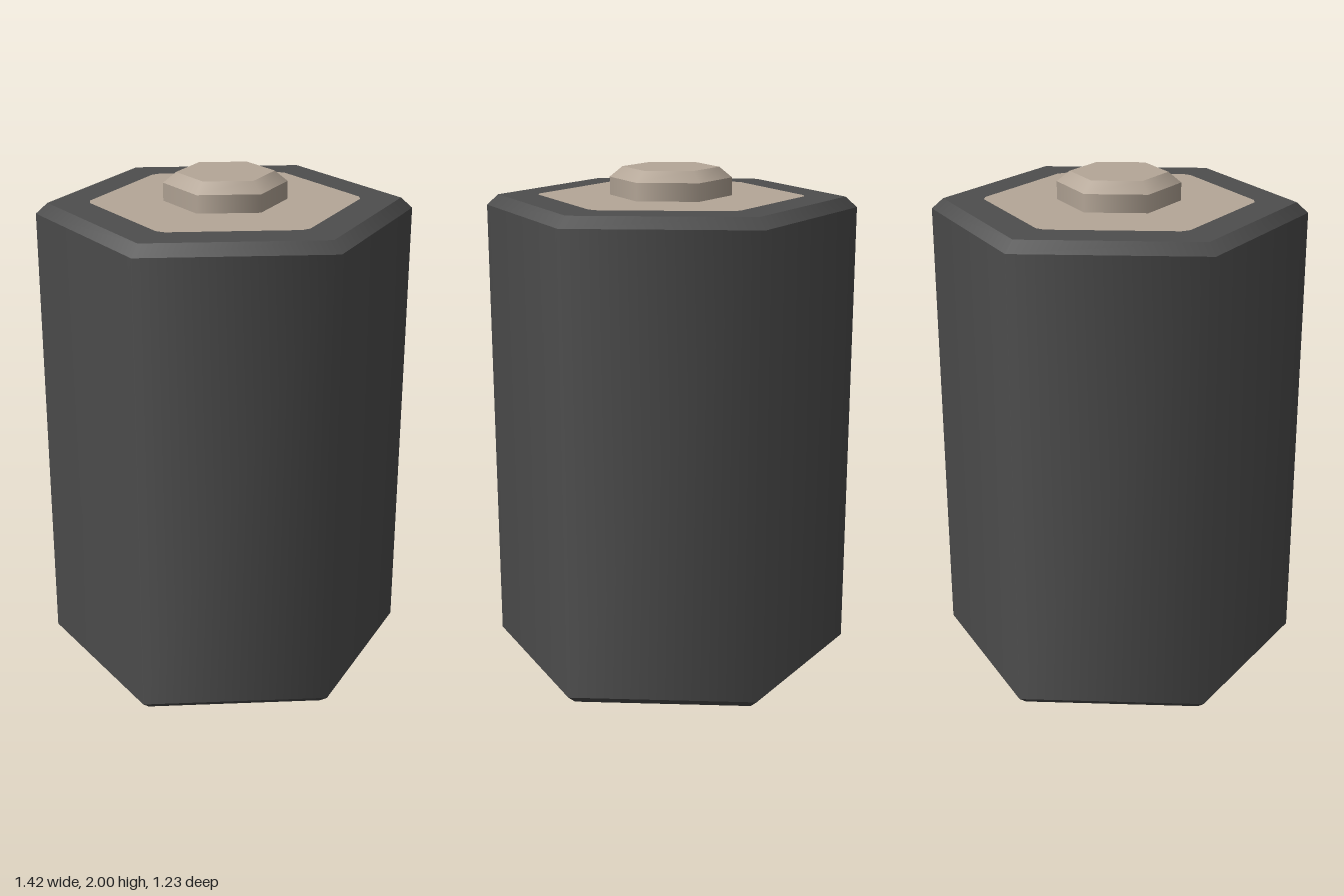
import * as THREE from 'three';
import { mergeGeometries } from 'three/addons/utils/BufferGeometryUtils.js';

const SIDES = 6;

// Hexagonal tiers from [radius, y] rings, smooth around and creased between tiers, corners on x
function hexStack(rings) {
  const parts = [];
  for (let i = 1; i < rings.length; i++) {
    const [r0, y0] = rings[i - 1];
    const [r1, y1] = rings[i];
    const tier = new THREE.CylinderGeometry(r1, r0, y1 - y0, SIDES, 1, true, Math.PI / 2);
    parts.push(tier.translate(0, (y0 + y1) / 2, 0));
  }
  const [rBottom, yBottom] = rings[0];
  const [rTop, yTop] = rings[rings.length - 1];
  parts.push(new THREE.CircleGeometry(rBottom, SIDES).rotateX(Math.PI / 2).translate(0, yBottom, 0));
  parts.push(new THREE.CircleGeometry(rTop, SIDES).rotateX(-Math.PI / 2).translate(0, yTop, 0));
  return mergeGeometries(parts);
}

// Flat hexagon with slightly clipped corners
function clippedHex(radius, clip) {
  const corner = (i) => new THREE.Vector2(radius, 0).rotateAround(new THREE.Vector2(), (i * Math.PI * 2) / SIDES);
  const points = [];
  for (let i = 0; i < SIDES; i++) {
    points.push(corner(i).lerp(corner(i - 1), clip), corner(i).lerp(corner(i + 1), clip));
  }
  return new THREE.ShapeGeometry(new THREE.Shape(points));
}

export function createModel() {
  const group = new THREE.Group();
  const casing = new THREE.MeshStandardMaterial({ color: 0x4e4e4e });
  casing.name = 'dark grey casing';
  const metal = new THREE.MeshStandardMaterial({ color: 0xb5a798 });
  metal.name = 'beige metal';

  const add = (name, geometry, material) => {
    const mesh = new THREE.Mesh(geometry, material);
    mesh.name = name;
    group.add(mesh);
  };

  // Casing with bevelled rims
  add('casing', hexStack([[0.67, 0.035], [0.712, 0.07], [0.712, 1.85], [0.667, 1.89]]), casing);

  // Contact plate on top
  add('topPlate', clippedHex(0.519, 0.04).rotateX(-Math.PI / 2).translate(0, 1.892, 0), metal);

  // Raised terminal
  add('terminal', hexStack([[0.234, 1.88], [0.234, 1.96], [0.185, 2]]), metal);

  // Tapered contact underneath
  add('bottomContact', hexStack([[0.48, 0], [0.59, 0.035]]), metal);

  return group;
}
